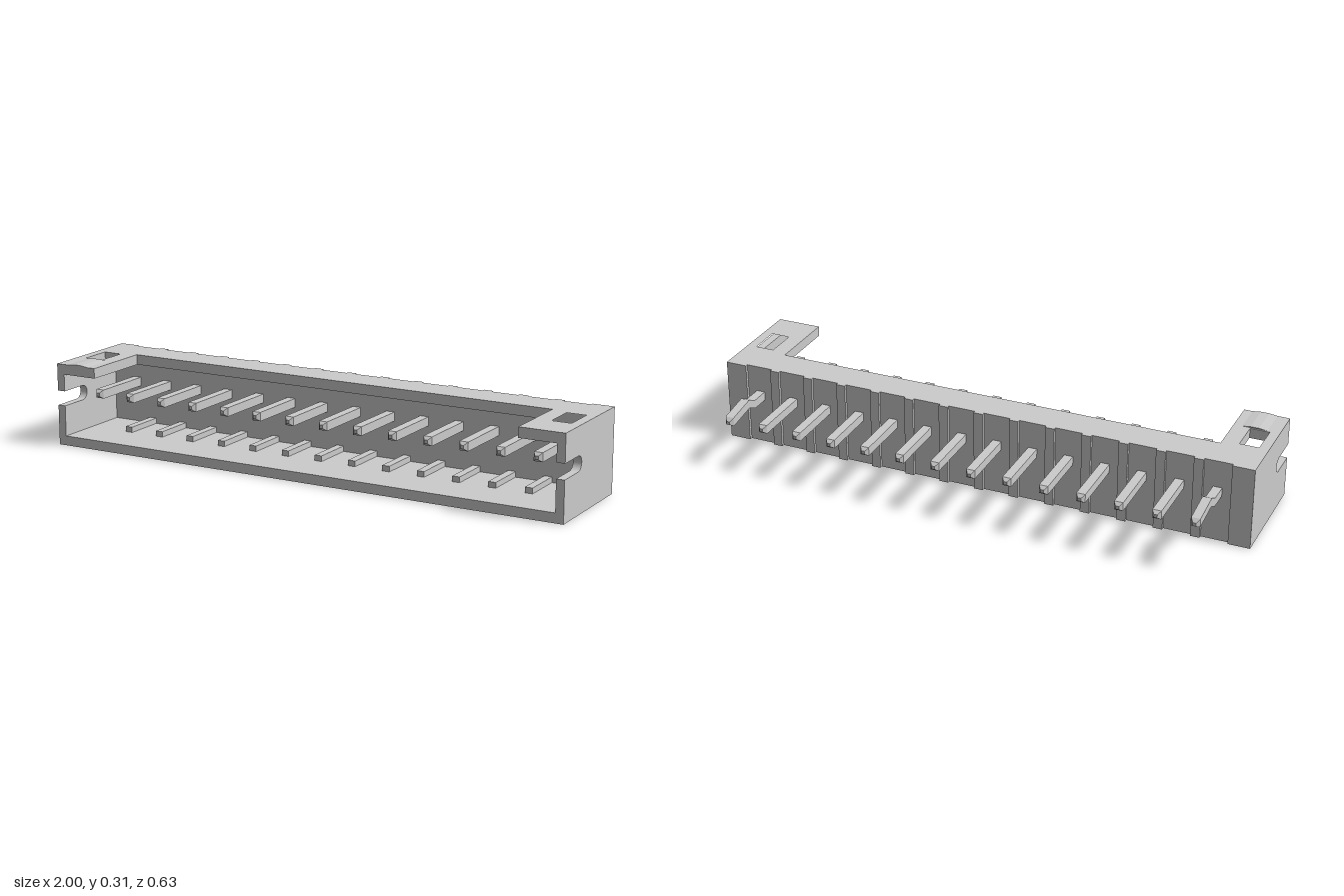
import * as THREE from 'three';

const COUNT = 14, PITCH = 0.134, FIRST = -PITCH * (COUNT - 1) / 2;
const HALF = 0.016, PIN_Y = 0.188;
const H = 0.302, WALL = 0.035, TOP = 0.265, FRONT = 0.315, BACK = -0.086;

export function createModel() {
  const group = new THREE.Group();
  const material = new THREE.MeshStandardMaterial({ color: 0xcccccc, flatShading: true });

  const add = (name, geometry, x = 0, y = 0, z = 0) => {
    const mesh = new THREE.Mesh(geometry, material);
    mesh.name = name;
    mesh.position.set(x, y, z);
    group.add(mesh);
    return mesh;
  };
  const box = (name, x0, x1, y0, y1, z0, z1) =>
    add(name, new THREE.BoxGeometry(x1 - x0, y1 - y0, z1 - z0), (x0 + x1) / 2, (y0 + y1) / 2, (z0 + z1) / 2);
  const outline = points => new THREE.Shape(points.map(([a, b]) => new THREE.Vector2(a, b)));
  // Plan outline, given as (x, z), extruded upwards
  const plan = points => outline(points.map(([x, z]) => [x, -z]));
  const extrude = (shape, depth) =>
    new THREE.ExtrudeGeometry(shape, { depth, bevelEnabled: false, curveSegments: 12 });

  // Back wall with a shallow full-height groove behind every pin
  const wall = [[-1, 0], [-1, BACK]];
  for (let i = 0; i < COUNT; i++) {
    const x = FIRST + i * PITCH;
    wall.push([x - 0.05, BACK], [x - 0.05, BACK + 0.011], [x + 0.05, BACK + 0.011], [x + 0.05, BACK]);
  }
  wall.push([1, BACK], [1, 0]);
  add('backWall', extrude(plan(wall), H).rotateX(-Math.PI / 2));

  // Floor
  box('floor', -1, 1, 0, WALL, 0, FRONT);

  // Top wall: wide front opening and a window in each corner tab
  const top = plan([[-1, 0], [1, 0], [1, FRONT], [0.835, FRONT], [0.835, 0.05],
    [-0.835, 0.05], [-0.835, FRONT], [-1, FRONT]]);
  for (const s of [-1, 1]) {
    const hole = plan([[s * 0.895, 0.07], [s * 0.965, 0.07], [s * 0.965, 0.19], [s * 0.895, 0.19]]);
    top.holes.push(hole);
  }
  add('topWall', extrude(top, H - TOP).rotateX(-Math.PI / 2), 0, TOP);

  // Side walls with a round-ended slot open to the front
  const side = new THREE.Shape();
  side.moveTo(0, WALL);
  side.lineTo(FRONT, WALL);
  side.lineTo(FRONT, 0.148);
  side.lineTo(0.208, 0.148);
  side.absarc(0.208, 0.175, 0.027, -Math.PI / 2, Math.PI / 2, true);
  side.lineTo(FRONT, 0.202);
  side.lineTo(FRONT, TOP);
  side.lineTo(0, TOP);
  const sideGeometry = extrude(side, 0.03).rotateY(-Math.PI / 2);
  add('leftWall', sideGeometry, 1);
  add('rightWall', sideGeometry, -0.97);

  // Low orientation ridge on the right corner tab
  const ridge = outline([[-0.955, H], [-0.865, H], [-0.895, 0.306], [-0.925, 0.306]]);
  add('orientationRidge', extrude(ridge, 0.12), 0, 0, 0.195);

  // Short ribs on the cavity floor, between the pins
  for (let i = 0; i < COUNT - 1; i++) {
    const x = FIRST + (i + 0.5) * PITCH;
    box('floorRib', x - 0.014, x + 0.014, WALL, 0.055, 0, 0.155);
  }

  // Contact pins: the two outermost are kinked behind the wall
  const tip = [[0.248, PIN_Y, 0.006], [0.235, PIN_Y, HALF]];
  const straight = pinGeometry([...tip, [-0.3, PIN_Y, HALF], [-0.313, PIN_Y, 0.006]]);
  const kinked = pinGeometry([...tip, [-0.147, PIN_Y, HALF], [-0.187, 0.208, HALF],
    [-0.3, 0.19, HALF], [-0.313, 0.188, 0.006]]);
  for (let i = 0; i < COUNT; i++) {
    const end = i === 0 || i === COUNT - 1;
    add(end ? 'kinkedPin' : 'straightPin', end ? kinked : straight, FIRST + i * PITCH);
  }
  return group;
}

// Square bar through sections [z, y, half width], listed from front to back
function pinGeometry(sections) {
  const positions = [], index = [];
  for (const [z, y, h] of sections) {
    positions.push(-h, y - h, z, h, y - h, z, h, y + h, z, -h, y + h, z);
  }
  for (let s = 0; s < sections.length - 1; s++) {
    for (let k = 0; k < 4; k++) {
      const a = s * 4 + k, b = s * 4 + (k + 1) % 4;
      index.push(a, a + 4, b + 4, a, b + 4, b);
    }
  }
  const e = (sections.length - 1) * 4;
  index.push(0, 1, 2, 0, 2, 3, e, e + 2, e + 1, e, e + 3, e + 2);
  const indexed = new THREE.BufferGeometry();
  indexed.setAttribute('position', new THREE.Float32BufferAttribute(positions, 3));
  indexed.setIndex(index);
  const geometry = indexed.toNonIndexed();
  geometry.computeVertexNormals();
  return geometry;
}
